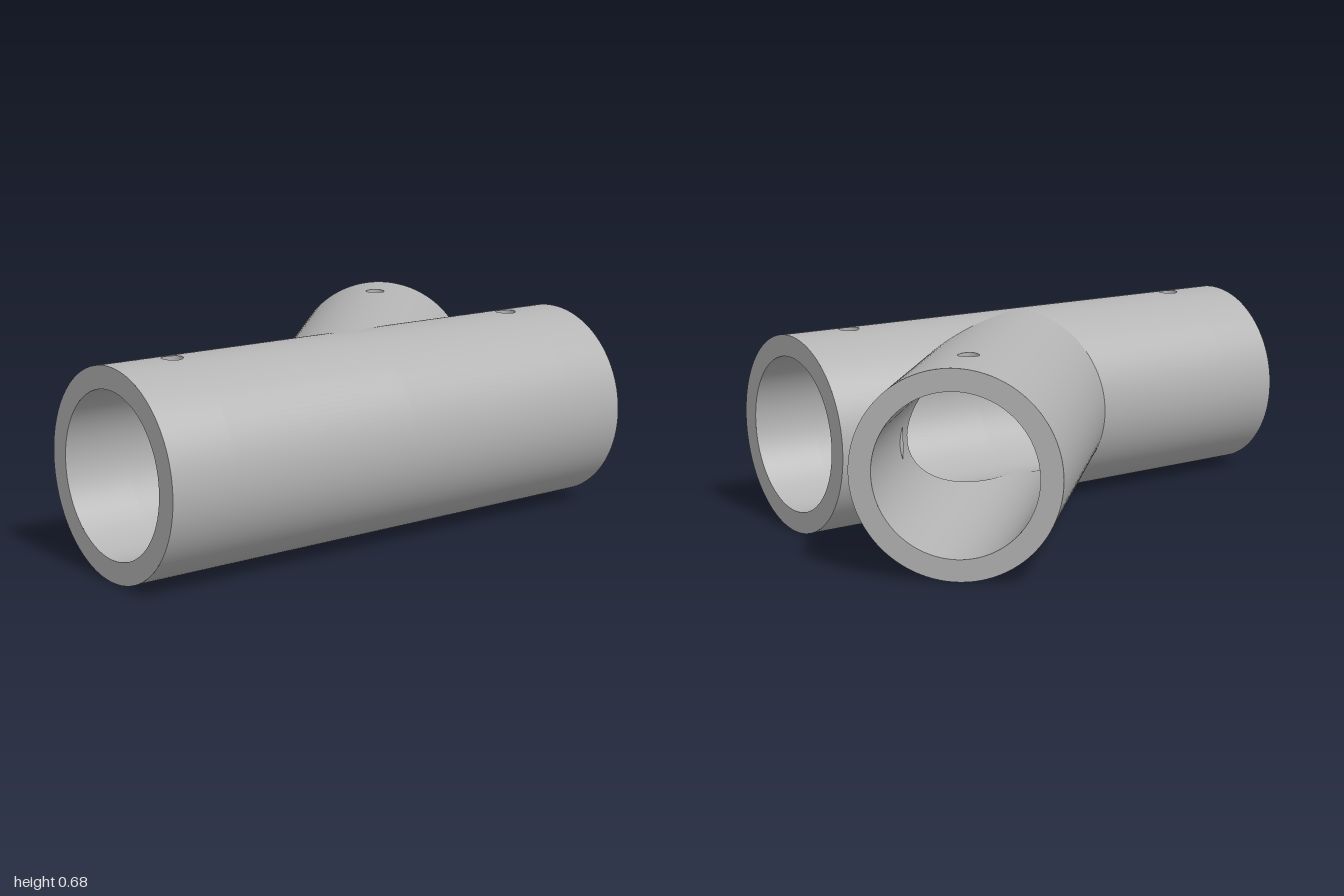
import * as THREE from 'three';

const R = 0.342, BORE = 0.2685, HOLE = 0.035;
const WIDE = Math.tan(Math.PI * 3 / 8), NARROW = Math.tan(Math.PI / 8); // mitre slopes of a 45 degree joint

// Angles round a tube, measured from the top, with fine columns across the screw hole
function columns(radius) {
  const list = [];
  for (let k = 0; k <= 16; k++) list.push(Math.asin(-HOLE * Math.cos(k * Math.PI / 16) / radius));
  const a = list[16], n = 120;
  for (let k = 1; k <= n; k++) list.push(a + (2 * Math.PI - 2 * a) * k / n);
  return list;
}

// Cylinder wall along x between start(z) and end(z), leaving a round hole in the top at x = holeX
function wall(radius, inward, start, end, holeX) {
  const pos = [], nor = [], idx = [], s = inward ? -1 : 1;
  const angles = columns(radius);
  const gap = (z, y) => (y > 0 ? Math.sqrt(Math.max(0, HOLE * HOLE - z * z)) : 0);
  const bands = [
    [start, (z, y) => holeX - gap(z, y)],
    [(z, y) => holeX + gap(z, y), end],
  ];
  for (const [lo, hi] of bands) {
    const base = pos.length / 3;
    angles.forEach((a, i) => {
      const ny = Math.cos(a), nz = Math.sin(a), y = radius * ny, z = radius * nz;
      pos.push(lo(z, y), y, z, hi(z, y), y, z);
      nor.push(0, s * ny, s * nz, 0, s * ny, s * nz);
      if (i === 0) return;
      const p = base + 2 * (i - 1), q = p + 2;
      if (inward) idx.push(p, q + 1, q, p, p + 1, q + 1);
      else idx.push(p, q, q + 1, p, q + 1, p + 1);
    });
  }
  const g = new THREE.BufferGeometry();
  g.setAttribute('position', new THREE.Float32BufferAttribute(pos, 3));
  g.setAttribute('normal', new THREE.Float32BufferAttribute(nor, 3));
  g.setIndex(idx);
  return g;
}

// Inside of a screw hole, its rims following the outer wall and the bore
function holeLining(holeX) {
  const g = new THREE.CylinderGeometry(HOLE, HOLE, 1, 32, 1, true);
  const p = g.attributes.position;
  for (let i = 0; i < p.count; i++) {
    const r = p.getY(i) > 0 ? R : BORE;
    p.setY(i, Math.sqrt(r * r - p.getZ(i) ** 2));
  }
  g.scale(-1, 1, 1); // turns the faces inward
  g.computeVertexNormals();
  return g.translate(holeX, 0, 0);
}

export function createModel() {
  const grey = new THREE.MeshStandardMaterial({ color: 0xb4b4b4 });
  grey.name = 'grey metal';
  const model = new THREE.Group();
  model.name = 'pipeFitting';

  function arm(name, start, end, holeX, capX, capSide) {
    const group = new THREE.Group();
    group.name = name;
    const add = (part, geometry) => {
      const mesh = new THREE.Mesh(geometry, grey);
      mesh.name = part;
      group.add(mesh);
    };
    add('outerWall', wall(R, false, start, end, holeX));
    add('bore', wall(BORE, true, start, end, holeX));
    add('screwHole', holeLining(holeX));
    const cap = new THREE.RingGeometry(BORE, R, 128);
    cap.rotateY(capSide * Math.PI / 2).translate(capX, 0, 0);
    add('endRing', cap);
    group.position.set(-0.054, R, 0.355);
    model.add(group);
    return group;
  }

  // Straight run, in two halves mitred on the branch side
  arm('leftRun', () => -0.946, (z) => Math.min(0, NARROW * z), -0.714, -0.946, -1);
  arm('rightRun', (z) => Math.max(0, -WIDE * z), () => 0.94, 0.709, 0.94, 1);

  // Branch leaving at 45 degrees, mitred to both halves
  const branch = arm('branch', (z) => Math.max(WIDE * z, -NARROW * z), () => 1.148, 0.915, 1.148, 1);
  branch.rotation.y = Math.PI / 4;
  return model;
}
